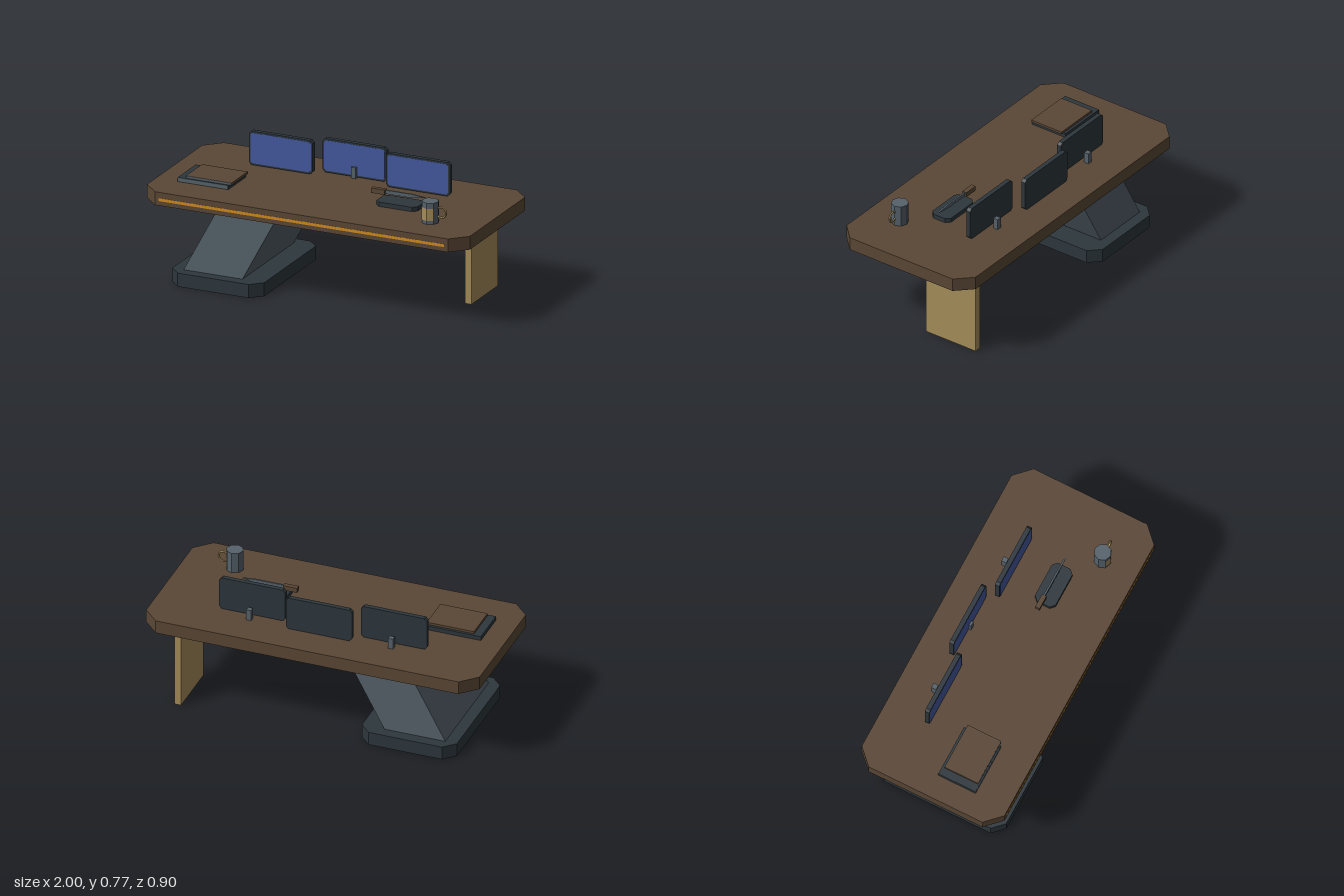
import * as THREE from 'three';

const mat = (name, color) => {
  const m = new THREE.MeshStandardMaterial({ color });
  m.name = name;
  return m;
};

export function createModel() {
  const wood = mat('brown wood', 0x5a4735);
  const dark = mat('dark graphite', 0x2d373d);
  const slate = mat('slate grey', 0x56626b);
  const tan = mat('tan', 0xa68d59);
  const blue = mat('screen blue', 0x4459a0);
  const orange = mat('orange strip', 0xd18b1c);

  const model = new THREE.Group();
  model.name = 'desk';
  const add = (name, geometry, material, parent = model) => {
    const mesh = new THREE.Mesh(geometry, material);
    mesh.name = name;
    parent.add(mesh);
    return mesh;
  };
  // box given by its limits on each axis
  const box = (x0, x1, y0, y1, z0, z1) =>
    new THREE.BoxGeometry(x1 - x0, y1 - y0, z1 - z0)
      .translate((x0 + x1) / 2, (y0 + y1) / 2, (z0 + z1) / 2);
  // rectangle with cut corners, extruded along z from 0
  const cutPlate = (w, h, cut, depth) => {
    const a = w / 2, b = h / 2;
    const points = [[a - cut, -b], [a, cut - b], [a, b - cut], [a - cut, b],
      [cut - a, b], [-a, b - cut], [-a, cut - b], [cut - a, -b]];
    const shape = new THREE.Shape(points.map(([x, y]) => new THREE.Vector2(x, y)));
    return new THREE.ExtrudeGeometry(shape, { depth, bevelEnabled: false });
  };
  // the same plate lying flat, standing on y0
  const slab = (w, d, cut, x, y0, y1, z) =>
    cutPlate(w, d, cut, y1 - y0).rotateX(-Math.PI / 2).translate(x, y0, z);

  // desk top with a light strip along the front edge
  add('deskTop', slab(2, 0.9, 0.092, 0, 0.483, 0.562, 0), wood);
  add('lightStrip', box(-0.885, 0.885, 0.51, 0.527, 0.447, 0.451), orange);

  // supports: slanted pedestal on a base, and a side panel
  add('base', slab(0.57, 0.8, 0.065, -0.57, 0, 0.08, 0), dark);
  const pedestal = box(-0.785, -0.42, 0.08, 0.484, -0.335, 0.335);
  const p = pedestal.attributes.position;
  for (let i = 0; i < p.count; i++) p.setX(i, p.getX(i) + (p.getY(i) - 0.08) * 0.54);
  pedestal.computeVertexNormals();
  add('pedestal', pedestal, slate);
  add('sidePanel', box(0.78, 0.82, 0, 0.484, -0.385, -0.04), tan);

  // monitors with stands
  for (const [x, z] of [[-0.425, -0.2], [0, -0.267], [0.425, -0.2]]) {
    const monitor = new THREE.Group();
    monitor.name = 'monitor';
    model.add(monitor);
    add('monitorFrame', cutPlate(0.396, 0.2, 0.016, 0.027).translate(x, 0.667, z), dark, monitor);
    add('screen', cutPlate(0.376, 0.18, 0.012, 0.002).translate(x, 0.667, z + 0.026), blue, monitor);
    add('stand', box(x - 0.015, x + 0.015, 0.562, 0.627, -0.255, -0.225), slate, monitor);
  }

  // two stacked books with pale front edges
  const books = new THREE.Group();
  books.name = 'books';
  model.add(books);
  add('lowerBook', box(-0.865, -0.552, 0.562, 0.587, 0.01, 0.244), dark, books);
  add('lowerBookEdge', box(-0.862, -0.555, 0.564, 0.586, 0.242, 0.246), slate, books);
  add('upperBook', box(-0.818, -0.535, 0.587, 0.601, 0.025, 0.235), wood, books);
  add('upperBookEdge', box(-0.815, -0.538, 0.588, 0.6, 0.233, 0.237), slate, books);

  // knife above a dark rest
  add('knifeRest', slab(0.255, 0.13, 0.025, 0.43, 0.562, 0.588, 0.065), dark);
  add('knifeHandle', box(0.25, 0.335, 0.611, 0.64, 0.041, 0.069), wood);
  const blade = new THREE.Shape([[0.335, 0.615], [0.5, 0.615], [0.582, 0.629], [0.5, 0.637], [0.335, 0.637]]
    .map(([x, y]) => new THREE.Vector2(x, y)));
  add('knifeBlade', new THREE.ExtrudeGeometry(blade, { depth: 0.01, bevelEnabled: false })
    .translate(0, 0, 0.05), slate);

  // eight-sided mug with a wrapped label and ring handle
  const mug = new THREE.Group();
  mug.name = 'mug';
  mug.position.set(0.697, 0.625, 0.235);
  model.add(mug);
  const facet = (g) => {
    const flat = g.toNonIndexed();
    flat.computeVertexNormals();
    return flat;
  };
  add('mugBody', facet(new THREE.CylinderGeometry(0.05, 0.05, 0.126, 8)), slate, mug);
  add('mugLabel', facet(new THREE.CylinderGeometry(0.0515, 0.0515, 0.072, 2, 1, true, -Math.PI / 4, Math.PI / 2)
    .translate(0, -0.006, 0)), tan, mug);
  add('mugHandle', facet(new THREE.TorusGeometry(0.031, 0.006, 5, 12).translate(0.067, 0.002, 0)), tan, mug);

  return model;
}
